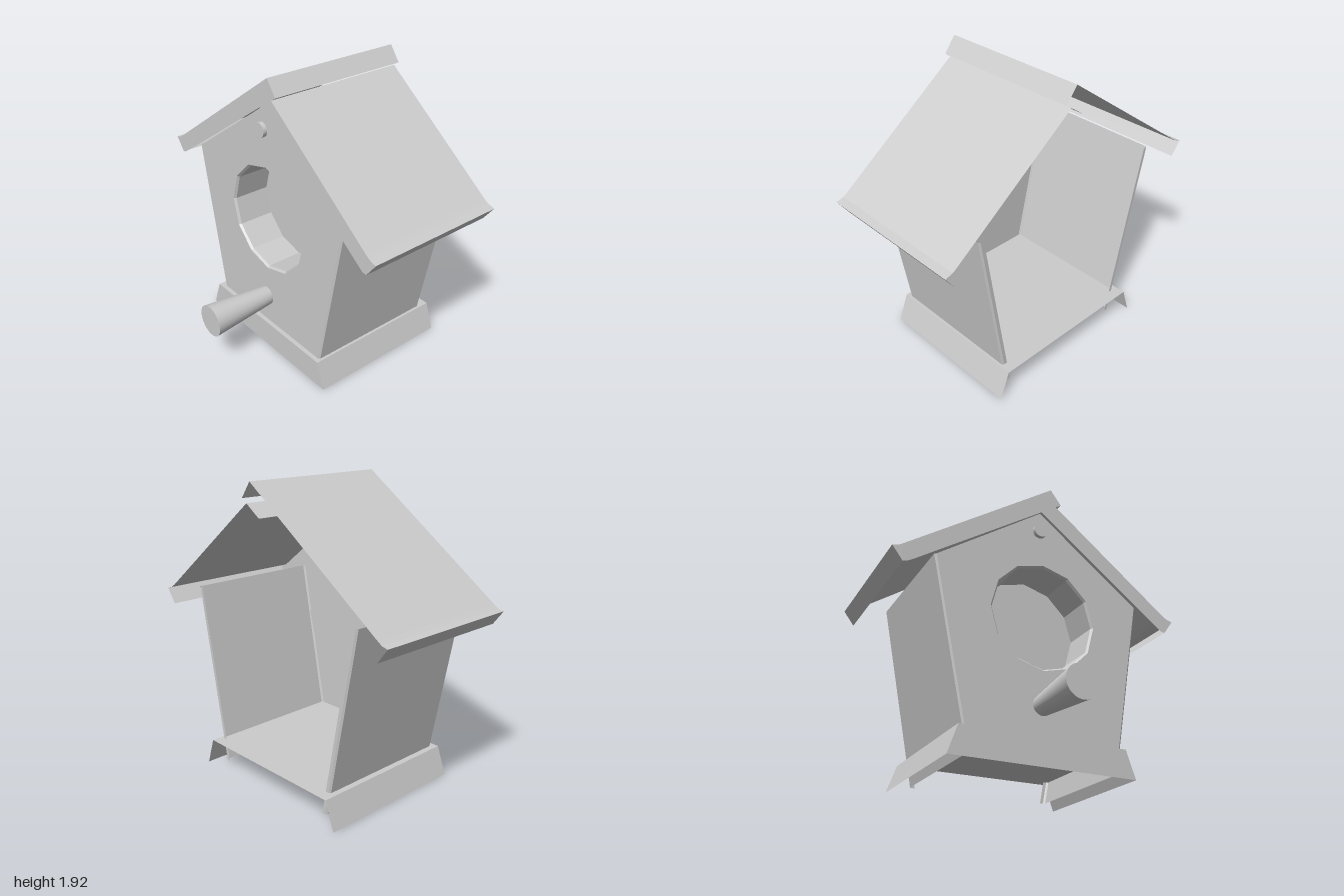
import * as THREE from 'three';

const material = new THREE.MeshStandardMaterial({ color: 0xcccccc, side: THREE.DoubleSide });

// Flat-faced open sheet between two matching rows of points
function sheet(rowA, rowB) {
  const pos = [];
  for (let i = 0; i < rowA.length - 1; i++) {
    pos.push(...rowA[i], ...rowB[i], ...rowA[i + 1]);
    pos.push(...rowA[i + 1], ...rowB[i], ...rowB[i + 1]);
  }
  const g = new THREE.BufferGeometry();
  g.setAttribute('position', new THREE.Float32BufferAttribute(pos, 3));
  g.computeVertexNormals();
  return g;
}

// Flat panel facing +z
function panel(points, z, hole) {
  const shape = new THREE.Shape(points.map(([x, y]) => new THREE.Vector2(x, y)));
  if (hole) shape.holes.push(new THREE.Path(hole.map(([x, y]) => new THREE.Vector2(x, y))));
  return new THREE.ShapeGeometry(shape).translate(0, 0, z);
}

const circle = (r, cx, cy, n) => Array.from({ length: n }, (_, i) => {
  const a = (i / n) * Math.PI * 2;
  return [cx + r * Math.cos(a), cy + r * Math.sin(a)];
});

export function createModel() {
  const model = new THREE.Group();
  const add = (name, geometry, parent = model) => {
    const mesh = new THREE.Mesh(geometry, material);
    mesh.name = name;
    parent.add(mesh);
    return mesh;
  };
  const group = (name) => {
    const g = new THREE.Group();
    g.name = name;
    model.add(g);
    return g;
  };

  // Base: flared tray, open at the back and underneath
  const base = group('base');
  const zF = 0.29, zB = -0.71;
  add('baseFloor', new THREE.PlaneGeometry(1.1, zF - zB).rotateX(-Math.PI / 2)
    .translate(0, 0.18, (zF + zB) / 2), base);
  add('baseSkirt', sheet(
    [[-0.55, 0.18, zB], [-0.55, 0.18, zF], [0.55, 0.18, zF], [0.55, 0.18, zB]],
    [[-0.613, 0, zB], [-0.613, 0, zF], [0.613, 0, zF], [0.613, 0, zB]]), base);

  // Front wall with the round entrance
  const cx = 0.008, cy = 0.965, c = 0.012;
  const wallL = { bottom: [-0.48, 0.03], top: [-0.73, 1.22] };
  const wallR = { bottom: [0.505, 0.03], top: [0.715, 1.19] };
  add('frontWall', panel([
    [wallL.bottom[0] + c, 0.03], [wallR.bottom[0] - c, 0.03],
    [wallR.top[0] - c, wallR.top[1]], [-0.01, 1.72], [wallL.top[0] + c, wallL.top[1]],
  ], 0.26, circle(0.364, cx, cy, 12)));

  // Entrance recess: narrow bevel, straight tube and closing disc
  add('entranceRecess', new THREE.LatheGeometry([
    new THREE.Vector2(0.364, 0.26), new THREE.Vector2(0.352, 0.245),
    new THREE.Vector2(0.352, 0), new THREE.Vector2(0, 0),
  ], 12).toNonIndexed().rotateX(Math.PI / 2).translate(cx, cy, 0)).geometry.computeVertexNormals();

  // Side walls, with chamfered front corners and a thin return at the back
  for (const [name, wall, s] of [['rightWall', wallL, -1], ['leftWall', wallR, 1]]) {
    const row = ([x, y]) => [
      [x - s * c, y, 0.26], [x, y, 0.25], [x, y, -0.63], [x - s * c, y, -0.64], [x - s * 0.035, y, -0.64],
    ];
    add(name, s > 0 ? sheet(row(wall.top), row(wall.bottom)) : sheet(row(wall.bottom), row(wall.top)));
  }

  // Roof boards: hollow shells with a front edge, bent at the eaves
  const rF = 0.28, rB = -0.7;
  const roofs = [
    ['rightRoof', [[0.14, 1.82], [0.065, 1.92], [-0.93, 1.22], [-0.96, 1.2], [-1, 1.19], [-0.93, 1.1]],
      [[-0.9, 1.11], [-0.86, 1.135], [-0.01, 1.72]]],
    ['leftRoof', [[-0.01, 1.72], [0.1, 1.795], [0.92, 1.175], [0.95, 1.155], [1, 1.14], [0.93, 1.045]],
      [[0.9, 1.052], [0.86, 1.08]]],
  ];
  for (const [name, outer, under] of roofs) {
    const roof = group(name);
    const at = (z) => outer.map(([x, y]) => [x, y, z]);
    const front = name === 'rightRoof' ? [...outer, ...under] : [...outer, ...under].reverse();
    add(name + 'FrontEdge', panel(front, rF), roof);
    add(name + 'Shell', name === 'rightRoof' ? sheet(at(rF), at(rB)) : sheet(at(rB), at(rF)), roof);
  }

  // Flared perch and the small peg below the ridge
  add('perch', new THREE.CylinderGeometry(0.107, 0.058, 0.51, 24)
    .rotateX(Math.PI / 2).translate(-0.007, 0.378, 0.455));
  add('gablePeg', new THREE.CylinderGeometry(0.048, 0.048, 0.06, 16)
    .rotateX(Math.PI / 2).translate(-0.017, 1.575, 0.257));

  return model;
}
